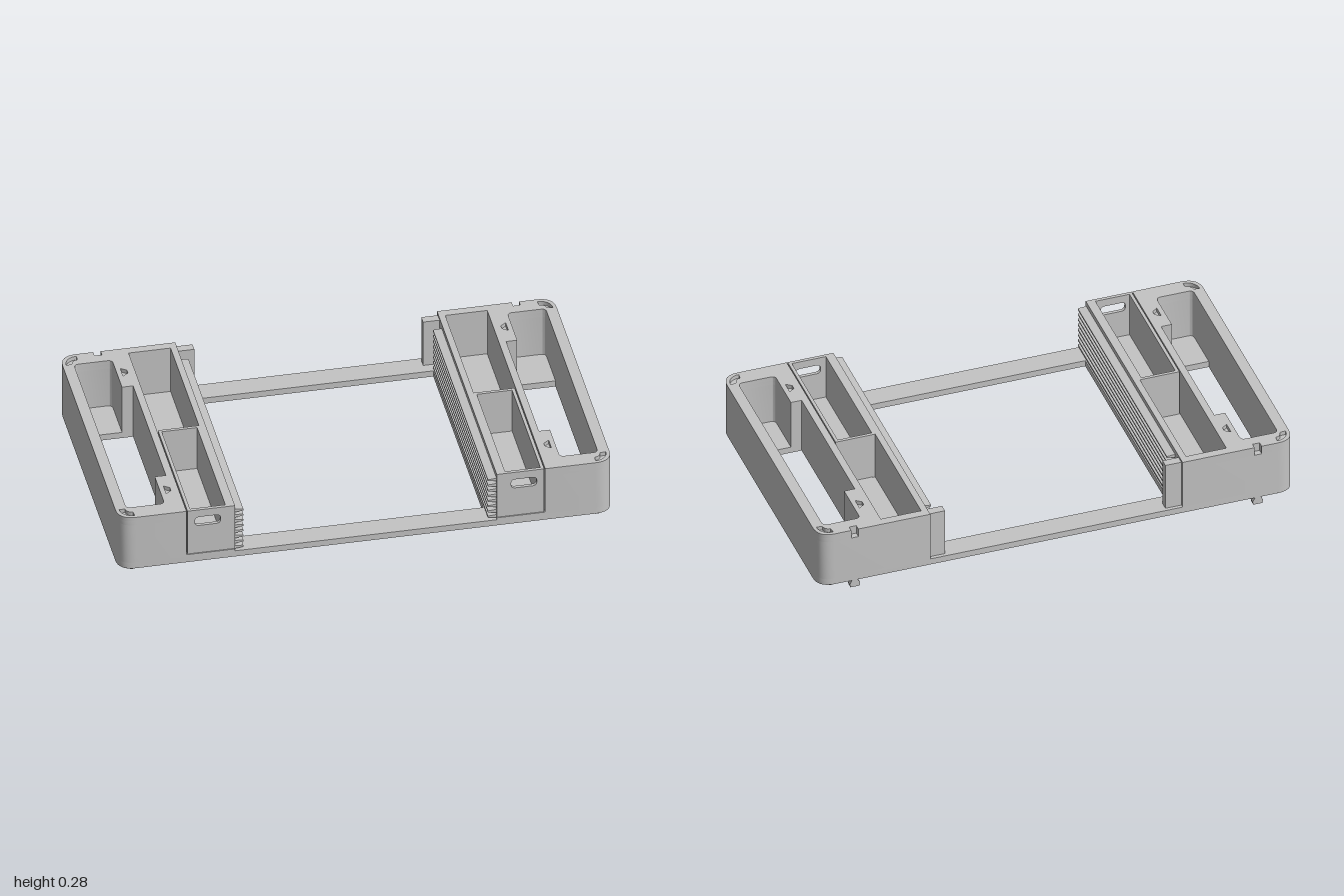
import * as THREE from 'three';
import { toCreasedNormals } from 'three/addons/utils/BufferGeometryUtils.js';

const grey = new THREE.MeshStandardMaterial({ color: 0xc4c4c4 });
grey.name = 'plainGrey';

// closed outline through [x, y, cornerRadius?] points, wound counter-clockwise or clockwise
function outline(points, clockwise, Type) {
  const isClockwise = THREE.ShapeUtils.area(points.map(([x, y]) => ({ x, y }))) < 0;
  const pts = isClockwise === clockwise ? points : [...points].reverse();
  const path = new Type();
  const n = pts.length;
  pts.forEach(([x, y, r = 0], i) => {
    const p = new THREE.Vector2(x, y);
    const toward = (q) => p.clone().add(new THREE.Vector2(q[0] - x, q[1] - y).setLength(r));
    const a = r ? toward(pts[(i + n - 1) % n]) : p;
    if (i === 0) path.moveTo(a.x, a.y); else path.lineTo(a.x, a.y);
    if (r) {
      const b = toward(pts[(i + 1) % n]);
      path.quadraticCurveTo(x, y, b.x, b.y);
    }
  });
  path.closePath();
  return path;
}

const rect = (x0, y0, x1, y1, r = 0) => [[x0, y0, r], [x1, y0, r], [x1, y1, r], [x0, y1, r]];

// extrude an outline along z, with creased normals
function extrude(points, holes, depth) {
  const shape = outline(points, false, THREE.Shape);
  holes.forEach((h) => shape.holes.push(outline(h, true, THREE.Path)));
  const g = new THREE.ExtrudeGeometry(shape, { depth, bevelEnabled: false, curveSegments: 8 });
  return toCreasedNormals(g, 0.6);
}

// plan outline in x and z, raised from y0 to y1
function slab(points, holes, y0, y1) {
  const flip = (list) => list.map(([x, z, r]) => [x, -z, r]);
  return extrude(flip(points), holes.map(flip), y1 - y0).rotateX(-Math.PI / 2).translate(0, y0, 0);
}

function box(x0, x1, y0, y1, z0, z1) {
  return new THREE.BoxGeometry(Math.abs(x1 - x0), y1 - y0, z1 - z0)
    .translate((x0 + x1) / 2, (y0 + y1) / 2, (z0 + z1) / 2);
}

// curved bean in plan, hugging the corner of sign (sx, sz)
function bean(sx, sz) {
  const pts = [];
  for (let i = 0; i <= 8; i++) {
    const a = -0.05 + (i / 8) * (Math.PI / 2 + 0.1);
    pts.push([sx * (0.935 + 0.05 * Math.cos(a)), sz * (0.515 + 0.05 * Math.sin(a))]);
  }
  for (let i = 8; i >= 0; i--) {
    const a = (i / 8) * (Math.PI / 2);
    pts.push([sx * (0.935 + 0.026 * Math.cos(a)), sz * (0.515 + 0.026 * Math.sin(a))]);
  }
  return pts;
}

export function createModel() {
  const model = new THREE.Group();
  model.name = 'trayFrame';
  const add = (parent, name, geometry) => {
    const m = new THREE.Mesh(geometry, grey);
    m.name = name;
    parent.add(m);
  };

  // floor plate: centre opening and one opening under each side bin
  add(model, 'basePlate', slab(rect(-1, -0.58, 1, 0.58, 0.07), [
    rect(-0.495, -0.485, 0.495, 0.485),
    rect(0.755, -0.318, 0.955, 0.318),
    rect(-0.955, -0.318, -0.755, 0.318),
  ], 0.032, 0.059));

  for (const s of [1, -1]) {
    const side = new THREE.Group();
    side.name = s > 0 ? 'leftUnit' : 'rightUnit';
    model.add(side);
    const mir = (pts) => pts.map(([x, z, r]) => [s * x, z, r]);

    // side walls: outer bin, open drawer bay and inner wall
    const notch = [[0.832, -0.58], [0.832, -0.555], [0.862, -0.555], [0.862, -0.58]];
    const wall = (cut) => mir([
      [0.53, -0.58], ...cut, [1, -0.58, 0.07], [1, 0.58, 0.07],
      [0.726, 0.58], [0.726, -0.545], [0.556, -0.545], [0.556, 0.005],
      [0.566, 0.005], [0.566, 0.566], [0.53, 0.566],
    ]);
    const bin = mir([
      [0.955, -0.51, 0.02], [0.955, 0.508, 0.02], [0.8, 0.508, 0.02], [0.8, 0.318],
      [0.755, 0.318], [0.755, -0.318], [0.8, -0.318], [0.8, -0.51, 0.02],
    ]);
    const dovetail = (z) => mir([[0.757, z - 0.01], [0.78, z - 0.027], [0.78, z + 0.027], [0.757, z + 0.01]]);
    add(side, 'lowerWalls', slab(wall([]), [bin], 0.059, 0.24));
    add(side, 'notchedWalls', slab(wall(notch), [bin], 0.24, 0.26));
    add(side, 'wallRim', slab(wall(notch),
      [bin, dovetail(-0.42), dovetail(0.415), bean(s, 1), bean(s, -1)], 0.26, 0.277));
    add(side, 'bayFloor', box(s * 0.53, s * 0.726, 0.059, 0.068, -0.545, 0.58));

    // drawer: bottom, rear divider, side and front with a grip slot
    const drawer = new THREE.Group();
    drawer.name = 'drawer';
    side.add(drawer);
    add(drawer, 'drawerBottom', box(s * 0.566, s * 0.722, 0.071, 0.08, 0.005, 0.566));
    add(drawer, 'drawerDivider', box(s * 0.556, s * 0.722, 0.071, 0.277, 0.005, 0.018));
    add(drawer, 'drawerSide', box(s * 0.709, s * 0.722, 0.071, 0.277, 0.018, 0.566));
    add(drawer, 'drawerFront', extrude(mir(rect(0.53, 0.071, 0.722, 0.277)),
      [mir(rect(0.588, 0.202, 0.692, 0.243, 0.018))], 0.014).translate(0, 0, 0.566));

    // tapered runner fins along the inner wall
    const count = 8;
    const pitch = 0.2 / count;
    for (let i = 0; i < count; i++) {
      const y = 0.066 + i * pitch;
      add(side, 'runnerFin', extrude(
        mir([[0.532, y], [0.532, y + 0.015], [0.495, y + 0.012], [0.495, y + 0.005]]),
        [], 1.065).translate(0, 0, -0.49));
    }

    // rear stop behind the fins
    add(side, 'stopPost', box(s * 0.463, s * 0.533, 0.059, 0.268, -0.565, -0.53));

    // rear locking hook under the floor
    add(side, 'lockingHook', extrude(mir([
      [0.836, 0.034], [0.857, 0.034], [0.868, 0.014], [0.865, 0], [0.827, 0], [0.824, 0.014],
    ]), [], 0.024).translate(0, 0, -0.58));

    // curved corner feet
    for (const z of [1, -1]) add(side, 'cornerFoot', slab(bean(s, z), [], 0.02, 0.034));
  }
  return model;
}
